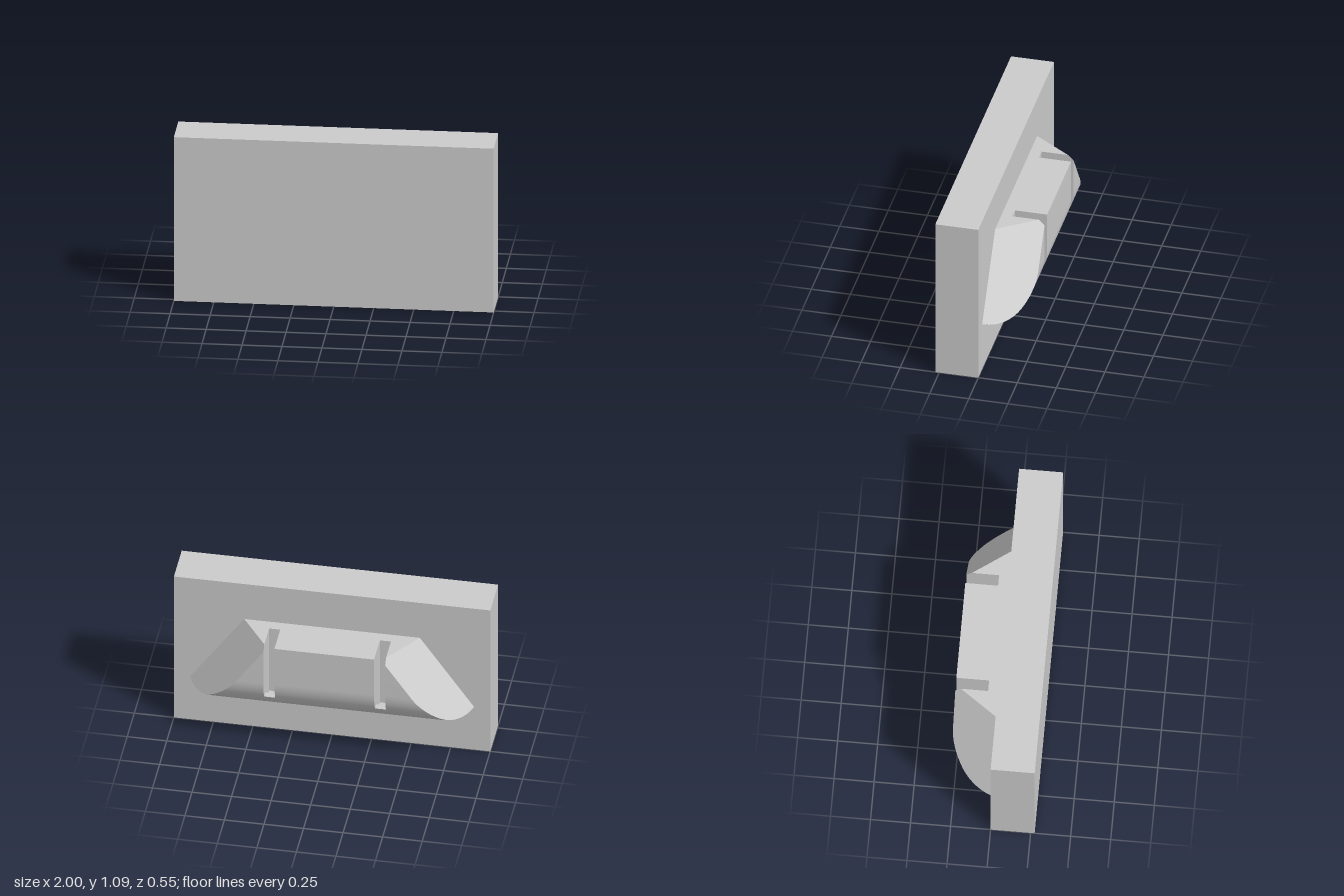
import * as THREE from 'three';
import { toCreasedNormals } from 'three/addons/utils/BufferGeometryUtils.js';

const R = 0.275, CY = 0.547, TOP = 0.82;   // housing: radius, axis height, top
const CX = 0.727;                          // centre of the ball-shaped ends
const IN = 0.315, OUT = 0.385;             // slot walls
const material = new THREE.MeshStandardMaterial({ color: 0xcccccc });

function addMesh(group, name, geometry) {
  const mesh = new THREE.Mesh(toCreasedNormals(geometry, 0.45), material);
  mesh.name = name;
  group.add(mesh);
}

// Extrude a side profile (depth behind the plate, height) from x0 to x1
function extrudeAlongX(shape, x0, x1) {
  const g = new THREE.ExtrudeGeometry(shape, { depth: x1 - x0, bevelEnabled: false, curveSegments: 20 });
  return g.rotateY(Math.PI / 2).translate(x0, 0, 0);
}

function housingProfile() {
  const s = new THREE.Shape();
  s.moveTo(0, TOP);
  s.lineTo(0, CY - R);
  s.absarc(0, CY, R, -Math.PI / 2, 0, false);
  s.lineTo(R, TOP);
  return s;
}

// Same profile with the slot removed: open to the back, with a scooped floor and a lip
function slotProfile() {
  const lip = 0.42, s = new THREE.Shape();
  s.moveTo(0, TOP);
  s.lineTo(0, CY - R);
  s.absarc(0, CY, R, -Math.PI / 2, Math.asin((lip - CY) / R), false);
  s.lineTo(0.2, lip);
  s.absellipse(0.07, lip, 0.13, 0.08, 0, -Math.PI / 2, true);
  s.lineTo(0.07, TOP);
  return s;
}

// Outline of an end piece at depth z: sloping cut plane, ball end, flat bottom
function endSection(z) {
  const slope = 0.7, x0 = 0.555 + 0.71 * z;
  const rho = Math.sqrt(Math.max(0, R * R - z * z)), bottom = CY - rho;
  const topX = Math.max(OUT, x0);
  const topY = Math.min(TOP, TOP - (OUT - x0) / slope);
  const points = [[OUT, bottom], [OUT, topY], [topX, topY]];
  const lowX = x0 + slope * (TOP - bottom);
  let start = -Math.PI / 2;
  if (lowX > CX) {
    // lower crossing of the cut line with the ball's circle
    const dx = x0 - CX, dy = TOP - CY;
    const a = slope * slope + 1, b = slope * dx - dy, c = dx * dx + dy * dy - rho * rho;
    const t = (-b + Math.sqrt(Math.max(0, b * b - a * c))) / a;
    start = Math.atan2(dy - t, dx + slope * t);
  }
  const n = 10;
  for (let i = 0; i <= n; i++) {
    const angle = start + (-Math.PI / 2 - start) * i / n;
    points.push([Math.min(lowX, CX) + rho * Math.cos(angle), CY + rho * Math.sin(angle)]);
  }
  return points.map(([x, y]) => new THREE.Vector3(x, y, z));
}

// Loft the sections from the plate to the back; side is +1 or -1
function endGeometry(side) {
  const depths = [-0.2394];
  for (let i = 0; i <= 24; i++) depths.push(-R * Math.sin(Math.PI / 2 * i / 24));
  depths.sort((a, b) => b - a);
  const sections = depths.map(endSection), positions = [];
  const tri = (a, b, c) => {
    const area = b.clone().sub(a).cross(c.clone().sub(a)).length();
    if (area < 1e-9) return;
    for (const p of side > 0 ? [a, b, c] : [a, c, b]) positions.push(side * p.x, p.y, p.z);
  };
  for (let i = 0; i < sections.length - 1; i++) {
    const s = sections[i], t = sections[i + 1];
    for (let j = 0; j < s.length; j++) {
      const k = (j + 1) % s.length;
      tri(s[j], s[k], t[k]);
      tri(s[j], t[k], t[j]);
    }
  }
  const last = sections[sections.length - 1];
  for (let j = 1; j < last.length - 1; j++) tri(last[0], last[j], last[j + 1]);
  const g = new THREE.BufferGeometry();
  g.setAttribute('position', new THREE.Float32BufferAttribute(positions, 3));
  return g;
}

export function createModel() {
  const group = new THREE.Group();
  group.name = 'plateWithHousing';

  // Flat front plate
  addMesh(group, 'plate', new THREE.BoxGeometry(2, 1.09, 0.275).translate(0, 0.545, 0.1375));

  // Rounded housing on the back
  addMesh(group, 'housingMiddle', extrudeAlongX(housingProfile(), -IN, IN));
  for (const [side, label] of [[1, 'left'], [-1, 'right']]) {
    const [x0, x1] = side > 0 ? [IN, OUT] : [-OUT, -IN];
    addMesh(group, label + 'Slot', extrudeAlongX(slotProfile(), x0, x1));
    addMesh(group, label + 'SlopedEnd', endGeometry(side));
  }
  return group;
}
